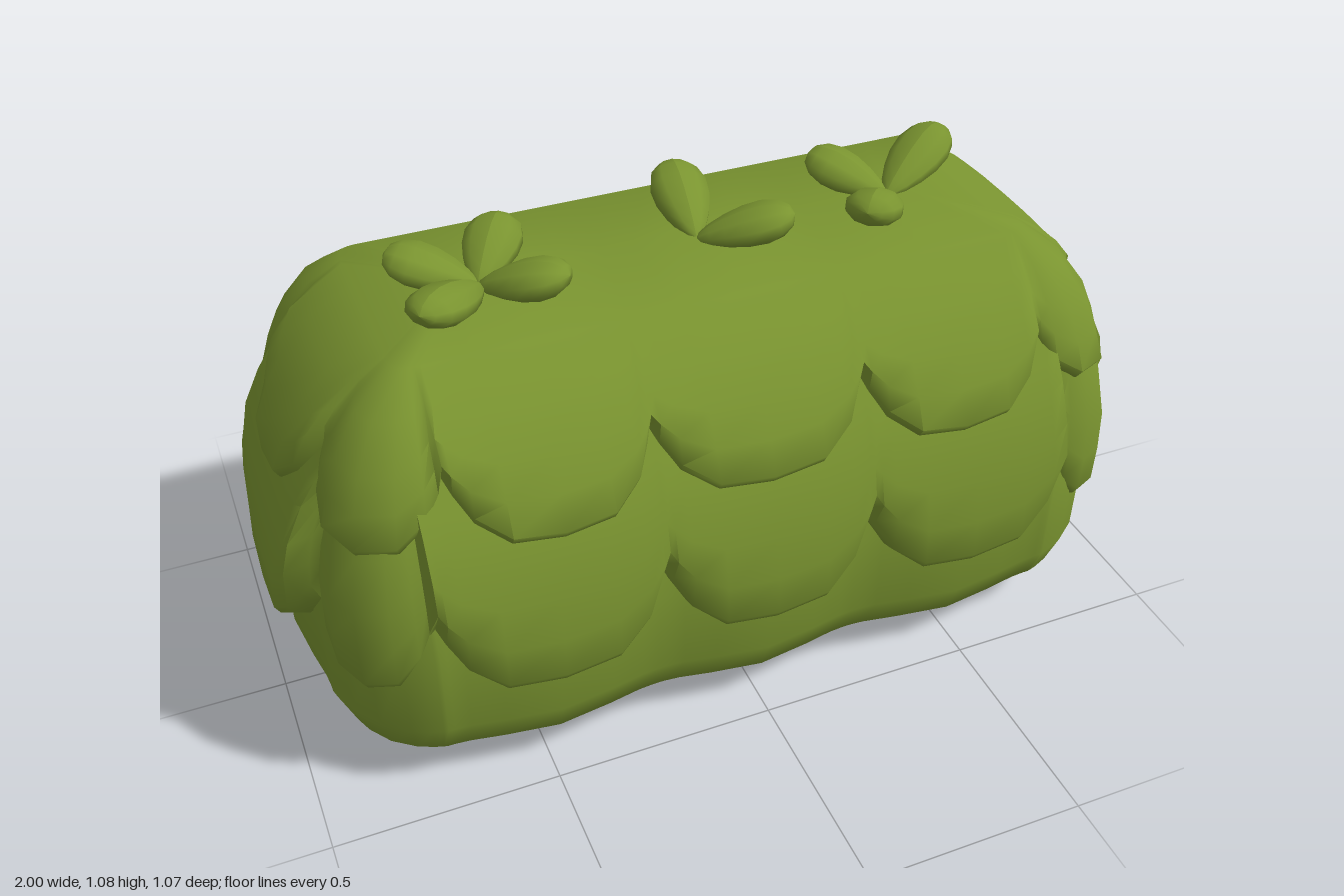
import * as THREE from 'three';
import { toCreasedNormals } from 'three/addons/utils/BufferGeometryUtils.js';

const green = new THREE.MeshStandardMaterial({ color: 0x7a9430, side: THREE.DoubleSide });
green.name = 'leafGreen';

const STEPS = [-1, -0.94, -0.8, -0.5, 0, 0.5, 0.8, 0.94];
const NOTCH = 0.235;
const CORNERS = [3, 5, 9, 11];
const lerp = THREE.MathUtils.lerp;
const clamp = THREE.MathUtils.clamp;

// Point on the plan outline, inset by d: scallop k of 12, position s from -1 to 1
function outline(o, k, s, d) {
  const { xn, zn } = o, hx = o.hx - d, hz = o.hz - d;
  const nodes = [
    [-xn, hz], [-NOTCH, hz], [NOTCH, hz], [xn, hz], [hx, zn], [hx, -zn],
    [xn, -hz], [NOTCH, -hz], [-NOTCH, -hz], [-xn, -hz], [-hx, -zn], [-hx, zn],
  ];
  const a = nodes[k], b = nodes[(k + 1) % 12], t = (s + 1) / 2;
  if (!CORNERS.includes(k)) return [lerp(a[0], b[0], t), lerp(a[1], b[1], t)];
  const c = o.bulge * Math.min(hx - xn, hz - zn);
  const cx = Math.sign(a[0] + b[0]) * (hx + c), cz = Math.sign(a[1] + b[1]) * (hz + c);
  const q = (p0, p1, p2) => (1 - t) * (1 - t) * p0 + 2 * t * (1 - t) * p1 + t * t * p2;
  return [q(a[0], cx, b[0]), q(a[1], cz, b[1])];
}

// Loft of closed rings from top to bottom; rows give a point for each column
function loft(rows) {
  const pos = [], index = [], n = 12 * STEPS.length;
  rows.forEach((row, r) => {
    for (let j = 0; j < n; j++) {
      pos.push(...row(Math.floor(j / STEPS.length), STEPS[j % STEPS.length]));
      if (r === 0) continue;
      const c = r * n + j, d = r * n + (j + 1) % n, a = c - n, b = d - n;
      index.push(a, c, b, b, c, d);
    }
  });
  const g = new THREE.BufferGeometry();
  g.setAttribute('position', new THREE.Float32BufferAttribute(pos, 3));
  g.setIndex(index);
  g.computeVertexNormals();
  return g;
}

// Row that collapses a ring onto a gently waved centre ridge
const ridge = (o, y, amp) => (k, s) => {
  const x = clamp(outline(o, k, s, 0.2)[0], -0.5, 0.5);
  return [x, y + amp * Math.cos(x * Math.PI * 2 / 0.46), 0];
};

// Inset at height y, read from a [y, inset] profile ordered downwards
function insetAt(profile, y) {
  for (let i = 1; i < profile.length; i++) {
    const [y0, d0] = profile[i - 1], [y1, d1] = profile[i];
    if (y >= y1) return lerp(d0, d1, clamp((y0 - y) / (y0 - y1), 0, 1));
  }
  return profile[profile.length - 1][1];
}

// Leafy skirt with a scalloped hem and a turned-in lip; corner scallops sit back
function tier(o) {
  const top = o.profile[0][0], edge = o.profile[o.profile.length - 1][0];
  const ring = (y, extra = 0, dy = 0) => (k, s) => {
    const gap = Math.abs(s) ** 3.4, v = (top - y) / (top - edge);
    const yy = top - (top - y) * (1 - o.drop / (top - edge) * gap);
    const dent = CORNERS.includes(k)
      ? o.corner * v ** o.cornerPower
      : o.puff * Math.abs(s) ** 5 * v ** 10;
    const nodeDent = Math.abs(s) === 1 ? Math.max(o.puff * v ** 10, dent * 0.7) : dent;
    const [x, z] = outline(o, k, s, insetAt(o.profile, yy) + nodeDent + extra);
    return [x, yy + dy, z];
  };
  const rows = o.profile.map(([y]) => ring(y));
  if (o.capped) rows.unshift(ridge(o, 0.99, 0.008));
  rows.push(ring(edge, 0.012, -0.02), ring(edge, o.lip, -0.032), ring(edge, o.lip + 0.06, 0));
  return toCreasedNormals(loft(rows), 1.1);
}

// Inner trunk of the hedge with softly dented sides and a shallow keel below
function core() {
  const o = { hx: 0.955, hz: 0.49, xn: 0.72, zn: 0.25, bulge: -0.2 };
  const profile = [[0.8, 0.19], [0.6, 0.06], [0.4, 0], [0.19, 0.003], [0.11, 0.035], [0.04, 0.12]];
  const rows = profile.map(([y, inset]) => (k, s) => {
    const dent = CORNERS.includes(k) ? 1 : (1 - Math.cos(Math.PI * s)) / 2;
    const [x, z] = outline(o, k, s, inset + 0.033 * dent * (y < 0.1 ? 0.4 : 1));
    return [x, y, z];
  });
  rows.push(ridge(o, 0.0125, -0.0125));
  return loft(rows);
}

// Plump leaf along +x, narrow at its base and blunt at its tip
function leafGeometry() {
  const g = new THREE.SphereGeometry(1, 10, 8);
  g.rotateZ(-Math.PI / 2);
  const p = g.attributes.position;
  for (let i = 0; i < p.count; i++) {
    const x = p.getX(i), w = 0.9 + 0.32 * x;
    p.setXYZ(i, (x + 1) / 2, p.getY(i) * 0.042 * w, p.getZ(i) * 0.068 * w);
  }
  g.computeVertexNormals();
  return g;
}

export function createModel() {
  const model = new THREE.Group();
  model.name = 'hedge';
  const add = (geometry, name, parent = model) => {
    const mesh = new THREE.Mesh(geometry, green);
    mesh.name = name;
    parent.add(mesh);
    return mesh;
  };

  add(core(), 'hedgeCore');
  add(tier({
    hx: 1, hz: 0.535, xn: 0.72, zn: 0.25, bulge: 0,
    drop: 0.16, puff: 0.06, lip: 0.045, corner: 0.08, cornerPower: 0.5,
    profile: [[0.82, 0.17], [0.72, 0.1], [0.65, 0.06], [0.53, 0.02], [0.43, 0.006], [0.34, 0]],
  }), 'lowerLeafTier');
  add(tier({
    hx: 0.95, hz: 0.49, xn: 0.66, zn: 0.19, bulge: 0.05,
    drop: 0.12, puff: 0.05, lip: 0.035, corner: 0.045, cornerPower: 1, capped: true,
    profile: [[0.97, 0.245], [0.905, 0.145], [0.82, 0.07], [0.75, 0.032], [0.68, 0]],
  }), 'upperLeafTier');

  // Sprouts: centre, then leaf tips in plan
  const leaf = leafGeometry();
  const sprouts = [
    [[-0.47, 0.04], [-0.635, -0.06], [-0.37, -0.12], [-0.63, 0.21], [-0.315, 0.165]],
    [[0.01, 0.04], [0.04, -0.18], [0.2, 0.12]],
    [[0.47, 0.03], [0.35, -0.12], [0.67, -0.1], [0.35, 0.165]],
  ];
  for (const [[cx, cz], ...tips] of sprouts) {
    const sprout = new THREE.Group();
    sprout.name = 'sprout';
    sprout.position.set(cx, 0.99, cz);
    for (const [tx, tz] of tips) {
      const dx = tx - cx, dz = tz - cz;
      const mesh = add(leaf, 'sproutLeaf', sprout);
      mesh.rotation.set(0, Math.atan2(-dz, dx), 0.28, 'YXZ');
      mesh.scale.x = Math.hypot(dx, dz) * 1.05;
    }
    model.add(sprout);
  }
  return model;
}
